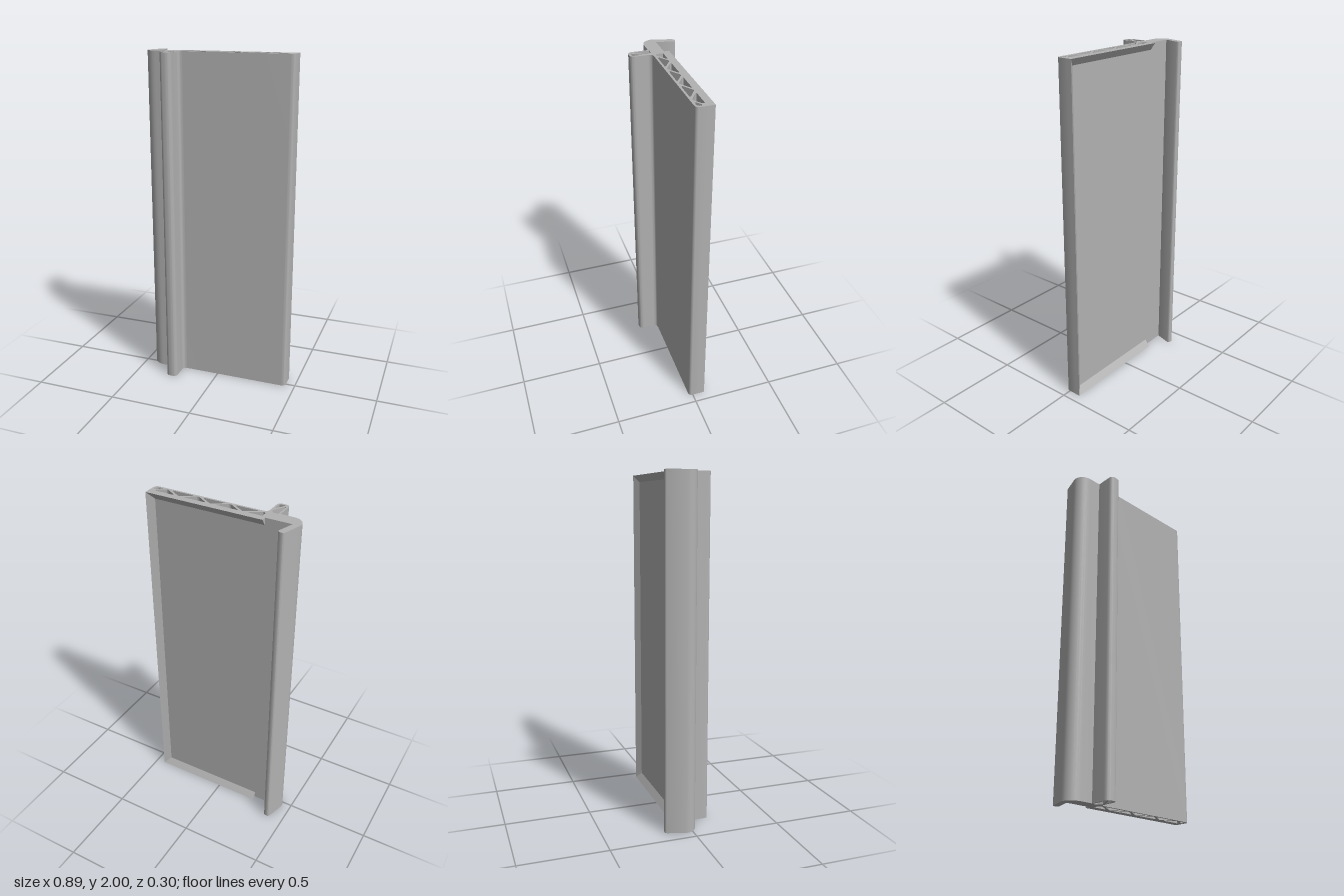
import * as THREE from 'three';
import { toCreasedNormals } from 'three/addons/utils/BufferGeometryUtils.js';

const HEIGHT = 2, LEFT = 0.444, STEP = -0.254, BACK = -0.075, PANEL = -0.046;

// Plan coordinates (x, z); the extrusion is turned upright, so z is negated.
const plan = (pts) => pts.map(([x, z]) => new THREE.Vector2(x, -z));

// Outline with a smooth corner: control point in the middle
const bend = (s, cx, cz, x, z) => s.quadraticCurveTo(cx, -cz, x, -z);
const line = (s, x, z) => s.lineTo(x, -z);

function profileShape() {
  const s = new THREE.Shape();
  // hooked lip
  s.moveTo(-0.404, -PANEL);
  line(s, -0.375, -0.14);
  bend(s, -0.374, -0.153, -0.387, -0.155);
  line(s, -0.404, -0.155);
  bend(s, -0.41, -0.153, -0.414, -0.143);
  line(s, -0.444, -0.043);
  s.bezierCurveTo(-0.452, 0.005, -0.42, -0.031, -0.375, -0.031);
  // front flange
  line(s, -0.302, 0.031);
  line(s, -0.302, 0.119);
  bend(s, -0.302, 0.149, -0.272, 0.149);
  line(s, -0.263, 0.149);
  bend(s, -0.234, 0.149, -0.234, 0.119);
  line(s, -0.234, 0.05);
  bend(s, -0.234, 0.025, -0.208, 0.025);
  // front face and rounded end
  line(s, 0.418, 0.025);
  bend(s, LEFT, 0.025, LEFT, -0.002);
  line(s, LEFT, PANEL);
  s.closePath();

  // truss openings
  const openings = [
    [[-0.232, -0.034], [-0.152, -0.034], [-0.153, -0.027], [-0.213, 0.01], [-0.22, 0.01], [-0.232, 0.001]],
    [[0.295, -0.034], [0.41, -0.034], [0.41, -0.021], [0.363, 0.01], [0.354, 0.01], [0.296, -0.027]],
    [[0.389, 0.013], [0.389, 0.007], [0.415, -0.012], [0.432, -0.012], [0.432, 0], [0.42, 0.013]],
    [[-0.292, 0.026], [-0.261, 0.026], [-0.246, 0.052], [-0.284, 0.117], [-0.292, 0.117]],
    [[-0.246, 0.084], [-0.246, 0.136], [-0.28, 0.136], [-0.28, 0.131], [-0.251, 0.084]],
  ];
  const pitch = 0.1917;
  for (let i = 0; i < 3; i++) {
    const a = -0.122 + i * pitch, b = a + pitch / 2;
    openings.push([[a - 0.063, 0.013], [a - 0.063, 0.006], [a - 0.005, -0.031],
      [a + 0.005, -0.031], [a + 0.063, 0.006], [a + 0.063, 0.013]]);
    if (i < 2) openings.push([[b - 0.064, -0.034], [b + 0.064, -0.034], [b + 0.062, -0.027],
      [b + 0.005, 0.01], [b - 0.005, 0.01], [b - 0.062, -0.027]]);
  }
  for (const o of openings) s.holes.push(new THREE.Path(plan(o)));
  return s;
}

export function createModel() {
  const group = new THREE.Group();
  const grey = new THREE.MeshStandardMaterial({ color: 0xb2b2b2 });
  grey.name = 'grey';
  const add = (name, geometry) => {
    const mesh = new THREE.Mesh(geometry, grey);
    mesh.name = name;
    group.add(mesh);
    return mesh;
  };

  // Constant section running the full height
  const body = new THREE.ExtrudeGeometry(profileShape(), { depth: HEIGHT, bevelEnabled: false, curveSegments: 8 });
  body.rotateX(-Math.PI / 2);
  add('profile', toCreasedNormals(body, 0.5));

  // Sloping rims around the back recess
  const rim = 0.04;
  const side = new THREE.ExtrudeGeometry(
    new THREE.Shape(plan([[LEFT, PANEL], [LEFT, BACK], [LEFT - rim, PANEL]])),
    { depth: HEIGHT, bevelEnabled: false });
  side.rotateX(-Math.PI / 2);
  add('sideRim', side);

  for (const [name, edge, dir] of [['bottomRim', 0, 1], ['topRim', HEIGHT, -1]]) {
    // section drawn in (z, y) and swept along x
    const section = new THREE.Shape([[PANEL, edge], [BACK, edge], [PANEL, edge + dir * rim]]
      .map(([z, y]) => new THREE.Vector2(-z, y)));
    const geo = new THREE.ExtrudeGeometry(section, { depth: LEFT - STEP, bevelEnabled: false });
    geo.rotateY(Math.PI / 2); // (a, y, d) -> (d, y, -a)
    geo.translate(STEP, 0, 0);
    add(name, geo);
  }
  return group;
}
